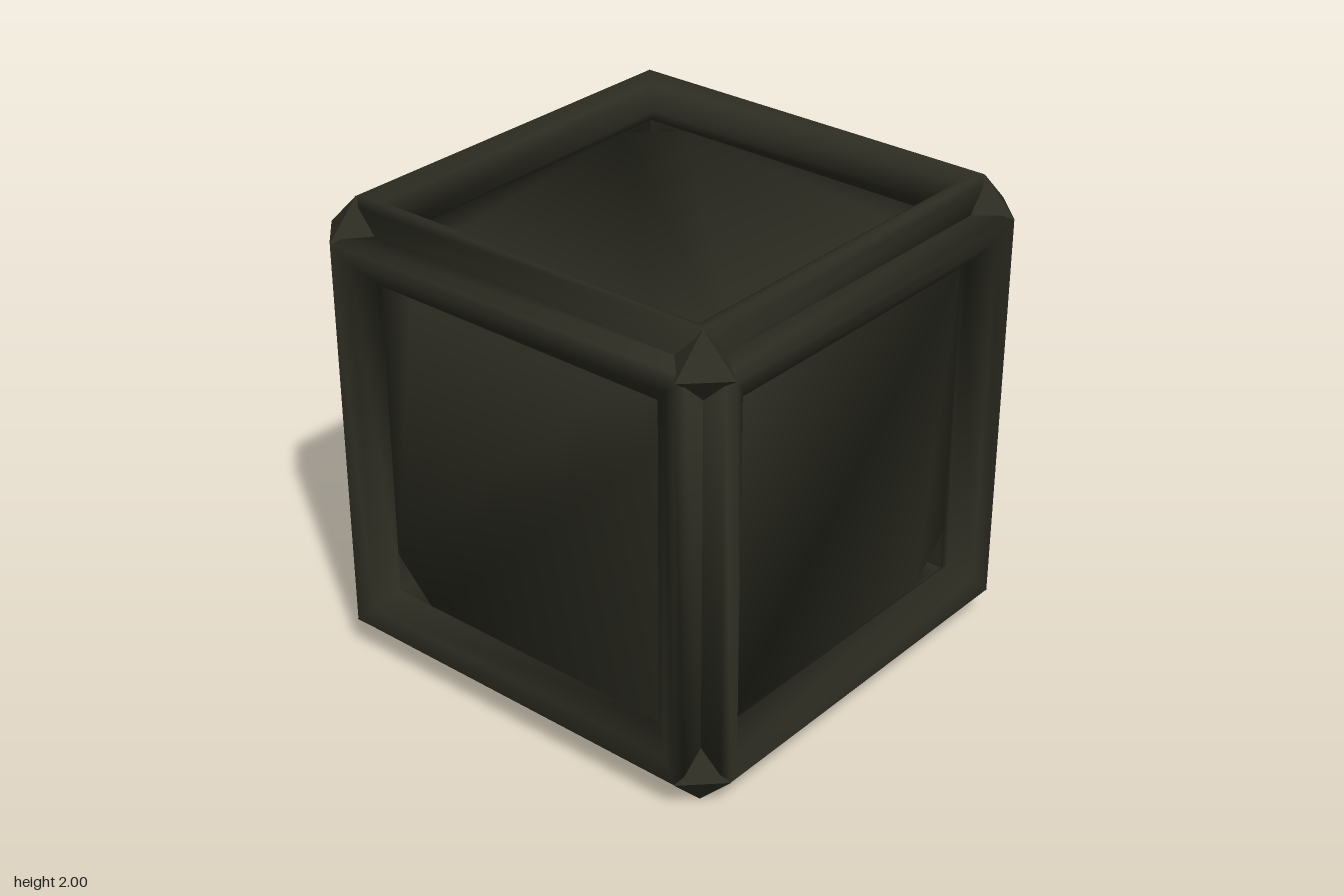
import * as THREE from 'three';
import { mergeVertices } from 'three/addons/utils/BufferGeometryUtils.js';
import { ConvexGeometry } from 'three/addons/geometries/ConvexGeometry.js';

const material = new THREE.MeshStandardMaterial({ color: 0x2c2c22 });
material.name = 'dark olive';

// Frame section (distance from face centre, height): edge groove, crest, sloping lip, underside
const profile = [[0.87, 0.87], [0.865, 0.96], [0.848, 1], [0.78, 0.97], [0.69, 0.9], [0.8, 0.8]];
const ringCorners = [[1, 1], [-1, 1], [-1, -1], [1, -1]];

// Square frame of one face, smooth all round
function frameGeometry() {
  const positions = [], index = [];
  profile.forEach(([r, z], i) => {
    ringCorners.forEach(([x, y], k) => {
      positions.push(r * x, r * y, z);
      if (i === 0) return;
      const outer = (i - 1) * 4, inner = i * 4, next = (k + 1) % 4;
      index.push(outer + k, outer + next, inner + next, outer + k, inner + next, inner + k);
    });
  });
  const g = new THREE.BufferGeometry();
  g.setAttribute('position', new THREE.Float32BufferAttribute(positions, 3));
  g.setIndex(index);
  g.computeVertexNormals();
  return g;
}

// Inner block with cut corners, softly shaded
function coreGeometry() {
  const d = 0.8, c = 0.61, points = [];
  for (const x of [-1, 1]) for (const y of [-1, 1]) for (const z of [-1, 1]) {
    for (const [a, b, e] of [[c, d, d], [d, c, d], [d, d, c]]) {
      points.push(new THREE.Vector3(a * x, b * y, e * z));
    }
  }
  const hull = new ConvexGeometry(points);
  hull.deleteAttribute('normal');
  const g = mergeVertices(hull);
  g.computeVertexNormals();
  return g;
}

// Corner cap: a cut triangle with three points running into the edge grooves
function cornerGeometry(sx, sy, sz) {
  const c = 0.85, d = 0.87, t = 0.74;
  const A = [1, c, c], B = [c, 1, c], C = [c, c, 1];
  const pts = [A, B, C, B, A, [d, d, t], C, B, [t, d, d], A, C, [d, t, d]]
    .map(([x, y, z]) => [x * sx, y * sy, z * sz]);
  if (sx * sy * sz < 0) pts.reverse();
  const g = new THREE.BufferGeometry();
  g.setAttribute('position', new THREE.Float32BufferAttribute(pts.flat(), 3));
  g.computeVertexNormals();
  return g;
}

export function createModel() {
  const model = new THREE.Group();
  model.name = 'framedCube';
  const body = new THREE.Group();
  body.name = 'body';
  body.position.y = 1;
  model.add(body);

  const add = (geometry, name) => {
    const mesh = new THREE.Mesh(geometry, material);
    mesh.name = name;
    body.add(mesh);
    return mesh;
  };

  // Recessed block seen through the frames
  add(coreGeometry(), 'core');

  // One frame on each face
  const frame = frameGeometry();
  const q = Math.PI / 2;
  const faces = {
    front: [0, 0], left: [0, q], back: [0, 2 * q], right: [0, -q], top: [-q, 0], bottom: [q, 0],
  };
  for (const [name, [rx, ry]] of Object.entries(faces)) {
    add(frame, name + 'Frame').rotation.set(rx, ry, 0);
  }

  // Corner caps
  for (const x of [-1, 1]) for (const y of [-1, 1]) for (const z of [-1, 1]) {
    add(cornerGeometry(x, y, z), 'cornerCap');
  }
  return model;
}
